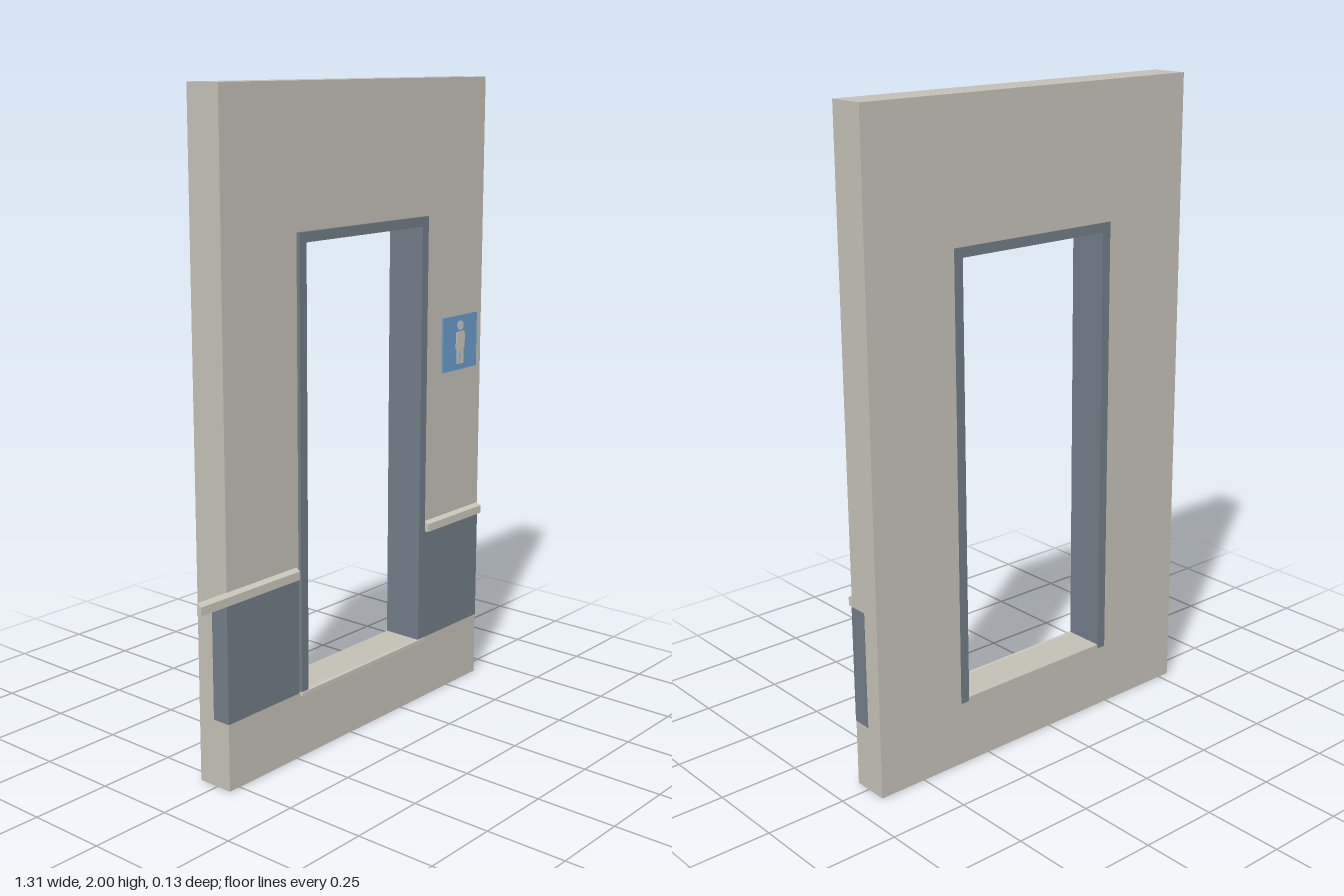
import * as THREE from 'three';

const mat = (name, color) => {
  const m = new THREE.MeshStandardMaterial({ color });
  m.name = name;
  return m;
};

export function createModel() {
  const group = new THREE.Group();
  const plaster = mat('warm grey plaster', 0xc2bfb4);
  const slate = mat('slate grey', 0x717c85);
  const blue = mat('sign blue', 0x6b9bcb);
  const trim = mat('pale grey trim', 0xc9c6bb);

  const add = (name, geometry, material) => {
    const mesh = new THREE.Mesh(geometry, material);
    mesh.name = name;
    group.add(mesh);
    return mesh;
  };
  // Box given by its limits on each axis
  const box = (name, material, x0, x1, y0, y1, z0, z1) => {
    const g = new THREE.BoxGeometry(x1 - x0, y1 - y0, z1 - z0);
    g.translate((x0 + x1) / 2, (y0 + y1) / 2, (z0 + z1) / 2);
    return add(name, g, material);
  };
  const poly = (pts) => pts.map(([x, y]) => new THREE.Vector2(x, y));
  const rect = (x0, x1, y0, y1) => poly([[x0, y0], [x1, y0], [x1, y1], [x0, y1]]);
  const extrude = (shape, z0, z1) =>
    new THREE.ExtrudeGeometry(shape, { depth: z1 - z0, bevelEnabled: false }).translate(0, 0, z0);

  const L = -0.54, R = 0.655;              // wall sides
  const back = -0.066, front = 0.051;      // wall faces
  const dl = -0.24, dr = 0.355;            // doorway sides
  const sill = 0.2, head = 1.585, jamb = 0.03;

  // Wall with doorway
  const wall = new THREE.Shape(rect(L, R, 0, 2));
  wall.holes.push(new THREE.Path(rect(dl, dr, sill, head)));
  add('wall', extrude(wall, back, front), plaster);

  // Door frame: two jambs and a head in one piece, proud of the wall front
  const frame = new THREE.Shape(poly([
    [dl, sill], [dl + jamb, sill], [dl + jamb, head - jamb], [dr - jamb, head - jamb],
    [dr - jamb, sill], [dr, sill], [dr, head], [dl, head],
  ]));
  add('doorFrame', extrude(frame, back - 0.0005, 0.062), slate);

  // Threshold with a full-width nosing
  box('threshold', plaster, dl + jamb, dr - jamb, sill, 0.213, back, 0.055);
  box('thresholdNosing', trim, dl, dr, sill, 0.213, front, 0.066);

  // Wainscot panels and the sloped rails above them
  const railProfile = new THREE.Shape(poly([
    [0.05, 0.57], [0.066, 0.57], [0.066, 0.596], [0.05, 0.605],
  ]));
  const sides = [
    { name: 'right', panel: [L - 0.001, dl], rail: [-0.655, -0.25] },
    { name: 'left', panel: [dr, R + 0.001], rail: [0.367, R] },
  ];
  for (const s of sides) {
    box(s.name + 'Panel', slate, ...s.panel, 0.207, 0.57, -0.008, front + 0.001);
    const g = extrude(railProfile, 0, s.rail[1] - s.rail[0]);
    g.rotateY(-Math.PI / 2);               // profile depth to +z, length to -x
    g.translate(s.rail[1], 0, 0);
    add(s.name + 'Rail', g, trim);
  }

  // Wall sign with a standing figure
  box('sign', blue, 0.445, 0.625, 1.078, 1.255, front, 0.057);
  const cx = 0.535, z = 0.057, t = 0.002;
  const headDisc = new THREE.CylinderGeometry(0.016, 0.016, t, 20);
  headDisc.rotateX(Math.PI / 2).translate(cx, 1.222, z + t / 2);
  add('figureHead', headDisc, trim);
  const half = [[0.003, 1.15], [0.003, 1.097], [0.017, 1.097], [0.017, 1.148], [0.023, 1.148], [0.023, 1.196], [0.017, 1.202]];
  const body = new THREE.Shape(poly([
    ...half.map(([x, y]) => [cx + x, y]),
    ...half.slice().reverse().map(([x, y]) => [cx - x, y]),
  ]));
  add('figureBody', extrude(body, z, z + t), trim);

  return group;
}
